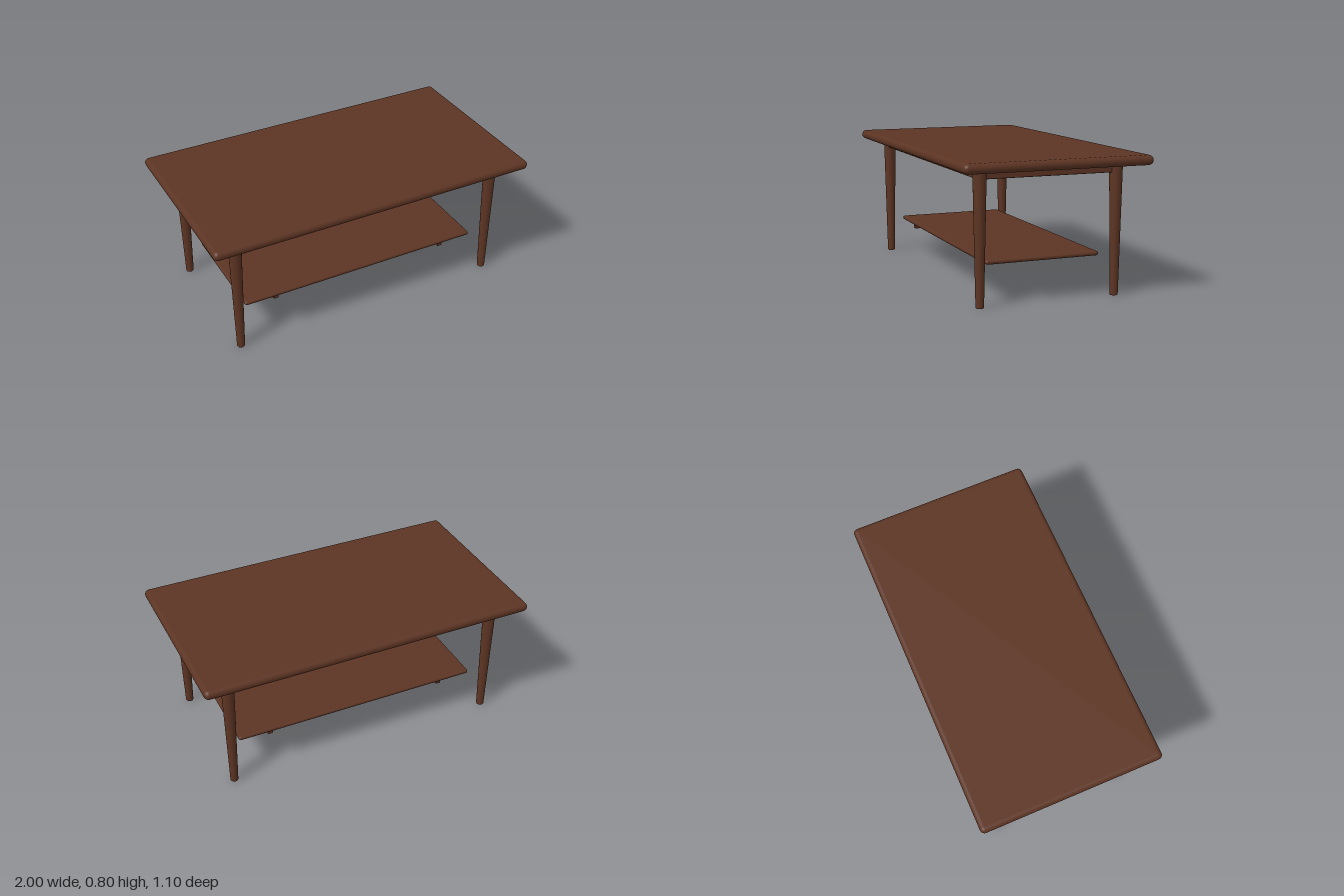
import * as THREE from 'three';
import { RoundedBoxGeometry } from 'three/addons/geometries/RoundedBoxGeometry.js';

export function createModel() {
  const table = new THREE.Group();
  table.name = 'coffeeTable';
  const wood = new THREE.MeshStandardMaterial({ color: 0x5c3423 });
  wood.name = 'dark walnut';

  const add = (name, geometry, x, y, z) => {
    const mesh = new THREE.Mesh(geometry, wood);
    mesh.name = name;
    mesh.position.set(x, y, z);
    table.add(mesh);
  };
  const slab = (w, h, d, r) => new RoundedBoxGeometry(w, h, d, 5, r);

  const legX = 0.828, legZ = 0.403;

  // Table top with fully rounded edges
  add('tableTop', slab(2, 0.056, 1.1, 0.0275), 0, 0.772, 0);

  // Lower shelf
  add('shelf', slab(1.52, 0.025, 0.68, 0.012), 0, 0.2275, 0);

  // Tapered legs with a slightly eased foot
  const legProfile = [[0, 0], [0.021, 0], [0.023, 0.004], [0.038, 0.745], [0, 0.745]]
    .map(([r, y]) => new THREE.Vector2(r, y));
  // Separate lathes keep the foot and top edges crisp
  const legSide = new THREE.LatheGeometry(legProfile.slice(1, 4), 32);
  const legFoot = new THREE.LatheGeometry(legProfile.slice(0, 2), 32);
  const legCap = new THREE.LatheGeometry(legProfile.slice(3), 32);
  for (const sx of [-1, 1]) {
    for (const sz of [-1, 1]) {
      add('leg', legSide, sx * legX, 0, sz * legZ);
      add('legFoot', legFoot, sx * legX, 0, sz * legZ);
      add('legCap', legCap, sx * legX, 0, sz * legZ);
    }
  }

  for (const s of [-1, 1]) {
    // Apron rails between the legs
    add('longApron', slab(legX * 2, 0.05, 0.03, 0.004), 0, 0.72, s * legZ);
    add('shortApron', slab(0.03, 0.05, legZ * 2, 0.004), s * legX, 0.72, 0);
    // Runners under the shelf
    add('shelfRunner', slab(0.032, 0.027, 0.644, 0.005), s * 0.56, 0.2, 0);
  }
  return table;
}
